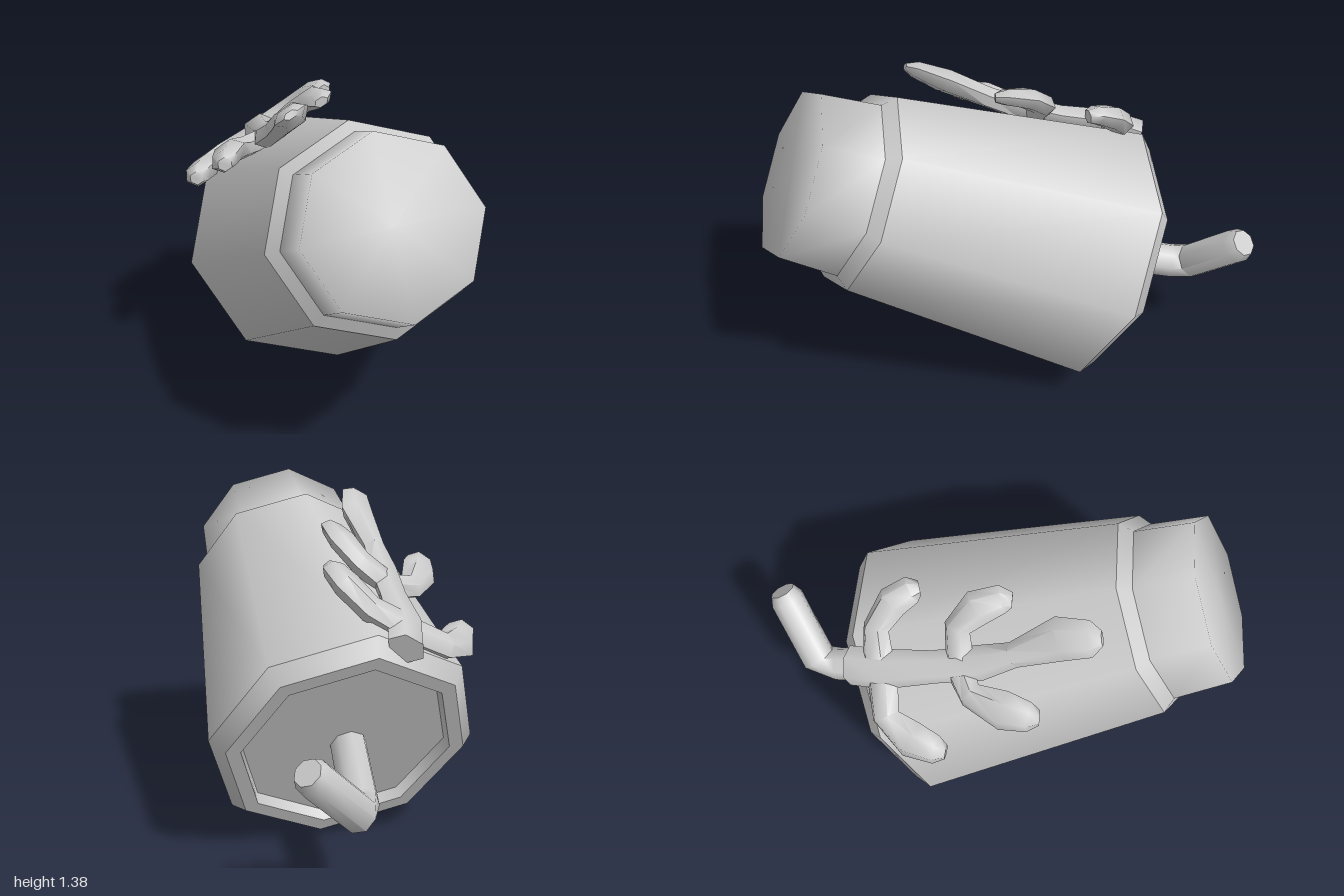
import * as THREE from 'three';
import { toCreasedNormals } from 'three/addons/utils/BufferGeometryUtils.js';

const V = (p) => new THREE.Vector3(...p);
const material = new THREE.MeshStandardMaterial({ color: 0xcccccc, side: THREE.DoubleSide });

function addMesh(parent, name, geometry) {
  const mesh = new THREE.Mesh(geometry, material);
  mesh.name = name;
  parent.add(mesh);
}

// Capped limb through points [x, y, z, halfWidth, halfThickness]; up sets the thickness direction
function limb(path, up, sides, start = 0) {
  const centres = path.map((p) => V(p.slice(0, 3)));
  const positions = [];
  const indices = [];
  const last = path.length - 1;
  path.forEach(([, , , w, h], i) => {
    const tangent = centres[Math.min(i + 1, last)].clone().sub(centres[Math.max(i - 1, 0)]).normalize();
    const normal = up.clone().addScaledVector(tangent, -up.dot(tangent)).normalize();
    const side = normal.clone().cross(tangent);
    for (let j = 0; j < sides; j++) {
      const a = start + (j / sides) * Math.PI * 2;
      const p = centres[i].clone().addScaledVector(side, Math.cos(a) * w).addScaledVector(normal, Math.sin(a) * h);
      positions.push(p.x, p.y, p.z);
    }
  });
  const first = positions.length / 3;
  positions.push(...centres[0].toArray(), ...centres[last].toArray());
  for (let j = 0; j < sides; j++) {
    const k = (j + 1) % sides;
    for (let i = 0; i < last; i++) {
      const a = i * sides, b = a + sides;
      indices.push(a + j, a + k, b + k, a + j, b + k, b + j);
    }
    indices.push(first, k, j, first + 1, last * sides + j, last * sides + k);
  }
  const geometry = new THREE.BufferGeometry();
  geometry.setAttribute('position', new THREE.Float32BufferAttribute(positions, 3));
  geometry.setIndex(indices);
  return toCreasedNormals(geometry, 1.0);
}

export function createModel() {
  const group = new THREE.Group();

  // Tilted eight-sided cup: local y runs from the rim to the base
  const cup = new THREE.Group();
  cup.name = 'cup';
  const axis = V([0.123, 0.437, 0.891]).normalize();
  const across = V([0.977, 0.101, -0.1835]);
  across.addScaledVector(axis, -across.dot(axis)).normalize();
  cup.quaternion.setFromRotationMatrix(new THREE.Matrix4().makeBasis(across, axis, across.clone().cross(axis)));
  cup.position.set(0.0075, 0.495, -0.33);
  group.add(cup);

  // Separate profiles keep the edges between them sharp
  const profiles = {
    recessFloor: [[0, -0.015], [0.425, -0.015]],
    recessWall: [[0.425, -0.015], [0.435, -0.065]],
    rimFace: [[0.435, -0.065], [0.495, -0.065]],
    rimEdge: [[0.495, -0.065], [0.55, 0]],
    body: [[0.55, 0], [0.41, 1.053]],
    baseStep: [[0.41, 1.053], [0.362, 1.1]],
    base: [[0.362, 1.1], [0.34, 1.335], [0, 1.335]],
  };
  for (const [name, points] of Object.entries(profiles)) {
    addMesh(cup, name, new THREE.LatheGeometry(points.map((p) => new THREE.Vector2(...p)), 8));
  }

  // Bent drinking straw with a bevelled tip
  const r = 0.074;
  addMesh(group, 'straw', limb([
    [-0.01, 0.47, -0.3, r, r],
    [0, 0.38, -0.7, r, r],
    [0.02, 0.385, -0.79, r + 0.004, r],
    [0.2, 0.595, -0.925, r, r],
    [0.222, 0.625, -0.945, r * 0.75, r * 0.75],
  ], V([0.8, -0.62, 0.2]).normalize(), 8));

  // Lobed leaf lying on the upper side of the cup, lobe ends lifted
  const leaf = new THREE.Group();
  leaf.name = 'leaf';
  group.add(leaf);
  const leafUp = V([-0.525, 0.79, -0.31]).normalize();
  const lobes = {
    leafStem: [
      [-0.19, 0.93, -0.56, 0.08, 0.06], [-0.21, 0.98, -0.42, 0.08, 0.06],
      [-0.2, 1.03, -0.22, 0.065, 0.05], [-0.19, 1.09, -0.05, 0.07, 0.05],
      [-0.17, 1.16, 0.08, 0.05, 0.045], [-0.13, 1.27, 0.25, 0.085, 0.05],
      [-0.14, 1.32, 0.36, 0.07, 0.035], [-0.14, 1.335, 0.4, 0.03, 0.015],
    ],
    upperLeftLobe: [
      [-0.2, 0.97, -0.43, 0.07, 0.05], [-0.37, 0.88, -0.4, 0.06, 0.05],
      [-0.45, 0.86, -0.29, 0.08, 0.055], [-0.485, 0.87, -0.19, 0.06, 0.05],
      [-0.49, 0.87, -0.15, 0.03, 0.03],
    ],
    upperRightLobe: [
      [-0.2, 0.98, -0.44, 0.07, 0.05], [-0.07, 1.06, -0.46, 0.055, 0.05],
      [0.01, 1.14, -0.4, 0.065, 0.05], [0.05, 1.18, -0.33, 0.055, 0.04],
      [0.06, 1.18, -0.3, 0.03, 0.03],
    ],
    lowerLeftLobe: [
      [-0.19, 1.05, -0.13, 0.06, 0.05], [-0.3, 1.03, -0.07, 0.055, 0.045],
      [-0.36, 1.06, 0.06, 0.08, 0.05], [-0.38, 1.07, 0.16, 0.06, 0.045],
      [-0.38, 1.07, 0.2, 0.03, 0.03],
    ],
    lowerRightLobe: [
      [-0.19, 1.06, -0.12, 0.06, 0.05], [-0.08, 1.16, -0.14, 0.055, 0.045],
      [-0.02, 1.23, -0.07, 0.07, 0.045], [0.01, 1.26, 0.02, 0.055, 0.035],
      [0.01, 1.26, 0.06, 0.03, 0.02],
    ],
  };
  for (const [name, path] of Object.entries(lobes)) addMesh(leaf, name, limb(path, leafUp, 6));

  return group;
}
